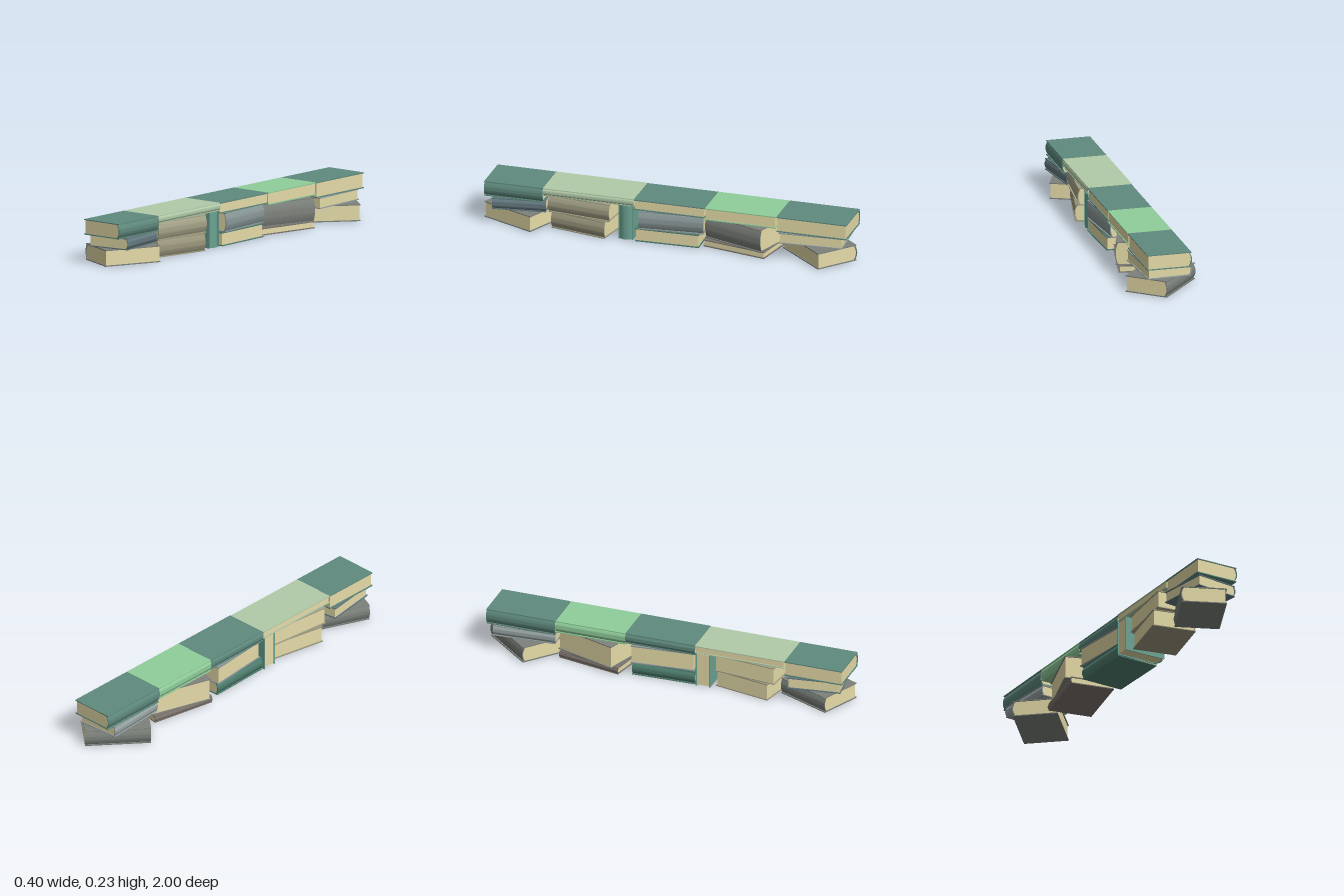
import * as THREE from 'three';
import { toCreasedNormals } from 'three/addons/utils/BufferGeometryUtils.js';

const W = 0.1185; // half width of every book
const T = 0.005; // cover board thickness

const paper = new THREE.MeshStandardMaterial({ color: 0xe6dca8 });

function extrude(shape, length) {
  const geo = new THREE.ExtrudeGeometry(shape, { depth: length, bevelEnabled: false, curveSegments: 12 });
  geo.translate(0, 0, -length / 2);
  return toCreasedNormals(geo, 0.5);
}

// A closed book lying flat, centred on the origin, with its rounded spine on +x
function makeBook(thickness, length, color) {
  const h = thickness / 2;
  const i = h - T;
  const sag = Math.min(0.012, thickness * 0.16);
  const edge = W - 0.004;
  const root = W - sag;

  // two boards joined by the curved spine, as one C-shaped section
  const c = new THREE.Shape();
  c.moveTo(-W, -h);
  c.lineTo(edge, -h);
  c.lineTo(edge, -i);
  c.lineTo(root, -i);
  c.quadraticCurveTo(W + sag, 0, root, i);
  c.lineTo(edge, i);
  c.lineTo(edge, h);
  c.lineTo(-W, h);
  c.lineTo(-W, i);
  c.lineTo(root - T, i);
  c.quadraticCurveTo(W + sag - T, 0, root - T, -i);
  c.lineTo(-W, -i);
  c.closePath();

  // page block, rounded where it meets the spine
  const p = new THREE.Shape();
  p.moveTo(-W + 0.006, -i);
  p.lineTo(root - T, -i);
  p.quadraticCurveTo(W + sag - T, 0, root - T, i);
  p.lineTo(-W + 0.006, i);
  p.closePath();

  const cover = new THREE.Mesh(extrude(c, length), new THREE.MeshStandardMaterial({ color }));
  cover.name = 'cover';
  const pages = new THREE.Mesh(extrude(p, length - 0.01), paper);
  pages.name = 'pages';
  const book = new THREE.Group();
  book.add(cover, pages);
  return book;
}

// name, bottom y, top y, centre z, length, turn, spine side (+1 or -1), colour
const BOOKS = [
  // front stack
  ['frontStackTopBook', 0.147, 0.227, 0.818, 0.315, 0, 1, 0x5f8a7e],
  ['frontStackMiddleBook', 0.086, 0.147, 0.805, 0.28, 0.14, 1, 0x647a80],
  ['frontStackBottomBook', 0, 0.086, 0.805, 0.313, -0.416, -1, 0x7c827c],
  // second stack, bridged by a long thin book
  ['bridgeBook', 0.186, 0.227, 0.415, 0.49, 0, 1, 0xb2cba9],
  ['secondStackMiddleBook', 0.092, 0.186, 0.455, 0.34, -0.11, 1, 0xa5a388],
  ['secondStackBottomBook', 0, 0.092, 0.45, 0.31, -0.2, 1, 0x9c997e],
  // middle stack
  ['middleStackTopBook', 0.171, 0.227, -0.02, 0.382, 0, -1, 0x5f8a7e],
  ['middleStackMiddleBook', 0.071, 0.171, -0.018, 0.34, 0.09, 1, 0x8c9a9a],
  ['middleStackBottomBook', 0, 0.071, -0.005, 0.34, 0.03, -1, 0x4f7f70],
  // fourth stack
  ['fourthStackTopBook', 0.162, 0.227, -0.403, 0.382, 0, -1, 0x90cd9b],
  ['fourthStackMiddleBook', 0.037, 0.162, -0.397, 0.348, -0.326, 1, 0x7f837d],
  ['fourthStackBottomBook', 0, 0.037, -0.39, 0.355, -0.2, -1, 0x7d746e],
  // back stack
  ['backStackTopBook', 0.145, 0.227, -0.785, 0.375, 0, -1, 0x5f8a7e],
  ['backStackMiddleBook', 0.087, 0.145, -0.772, 0.335, 0.06, -1, 0x98a4a4],
  ['backStackBottomBook', 0, 0.087, -0.795, 0.34, -0.71, -1, 0x7c827c],
];

export function createModel() {
  const model = new THREE.Group();
  model.name = 'rowOfBookStacks';

  for (const [name, y0, y1, z, length, turn, side, color] of BOOKS) {
    const book = makeBook(y1 - y0, length, color);
    book.name = name;
    book.position.set(0, (y0 + y1) / 2, z);
    book.rotation.y = turn + (side < 0 ? Math.PI : 0);
    model.add(book);
  }

  // upright book propping the end of the bridge
  const upright = makeBook(0.078, 0.186, 0x6ca392);
  upright.name = 'uprightBook';
  upright.rotation.x = -Math.PI / 2;
  upright.position.set(0, 0.093, 0.215);
  model.add(upright);

  return model;
}
